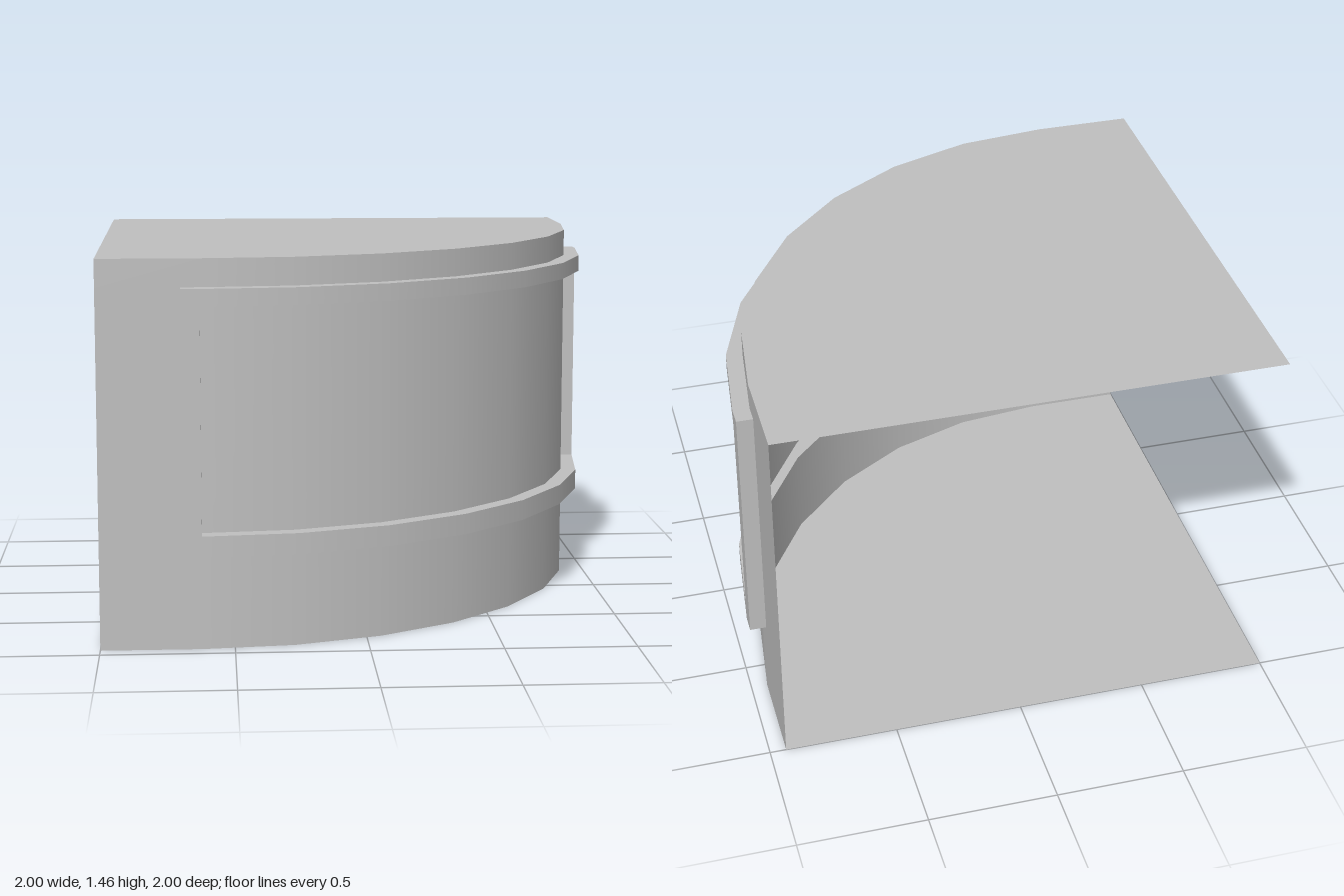
import * as THREE from 'three';

const H = 1.455;                    // overall height
const C = -0.62;                    // arc centre in x and z
const R_WALL = 1.557, R_FRAME = 1.62;
const SEGMENTS = 7;
const EDGE = -0.69;                 // outer end of the frame
const FRAME = [0.36, 0.44, 1.285, 1.35]; // frame heights, bottom to top

// Plan point with outward normal
const point = (x, z, nx, nz) => ({ x, z, nx, nz });

// Quarter-round plan path, from the front end round to the side end
function arc(radius) {
  return Array.from({ length: SEGMENTS + 1 }, (_, i) => {
    const a = (i / SEGMENTS) * Math.PI / 2;
    const s = Math.sin(a), c = Math.cos(a);
    return point(C + radius * s, C + radius * c, s, c);
  });
}

// The same path with straight ends running back to `start`
function extended(radius, start) {
  const r = C + radius;
  return [point(start, r, 0, 1), ...arc(radius), point(r, start, 1, 0)];
}

// Surface between a lower/outer row and an upper/inner row
function sheet(rowA, yA, rowB, yB, planar = false) {
  const n = rowA.length, pos = [], nor = [], idx = [];
  for (const [row, y] of [[rowA, yA], [rowB, yB]]) {
    for (const p of row) {
      pos.push(p.x, y, p.z);
      nor.push(p.nx, 0, p.nz);
    }
  }
  for (let i = 0; i < n - 1; i++) idx.push(i, i + 1, n + i + 1, i, n + i + 1, n + i);
  const g = new THREE.BufferGeometry();
  g.setAttribute('position', new THREE.Float32BufferAttribute(pos, 3));
  g.setAttribute('normal', new THREE.Float32BufferAttribute(nor, 3));
  g.setIndex(idx);
  if (planar) g.computeVertexNormals();
  return g;
}

export function createModel() {
  const model = new THREE.Group();
  model.name = 'roundedCornerWall';
  const grey = new THREE.MeshStandardMaterial({ color: 0xc0c0c0, side: THREE.DoubleSide });
  grey.name = 'light grey';

  const add = (parent, name, geometry) => {
    const mesh = new THREE.Mesh(geometry, grey);
    mesh.name = name;
    parent.add(mesh);
    return mesh;
  };
  const group = (name) => {
    const g = new THREE.Group();
    g.name = name;
    model.add(g);
    return g;
  };
  const band = (parent, name, path, y0, y1) => add(parent, name, sheet(path, y0, path, y1));
  const ledge = (parent, name, a, b, y) => add(parent, name, sheet(a, y, b, y, true));
  const jamb = (parent, name, a, b, y0, y1) =>
    add(parent, name, sheet([a, b], y0, [a, b], y1, true));

  const [y0, y1, y2, y3] = FRAME;
  const wallPath = extended(R_WALL, -1);
  const wallEdge = extended(R_WALL, EDGE), frameEdge = extended(R_FRAME, EDGE);
  const wallArc = arc(R_WALL), frameArc = arc(R_FRAME);
  const last = wallEdge.length - 1;

  // Curved wall around the frame, and the panel inside it
  const wall = group('wall');
  band(wall, 'lowerWall', wallPath, 0, y0);
  band(wall, 'upperWall', wallPath, y3, H);
  band(wall, 'frontWallEnd', [wallPath[0], wallEdge[0]], y0, y3);
  band(wall, 'sideWallEnd', [wallEdge[last], wallPath[last]], y0, y3);
  band(wall, 'windowPanel', wallArc, y1, y2);

  // Raised frame faces
  const frame = group('windowFrame');
  band(frame, 'bottomRail', frameEdge, y0, y1);
  band(frame, 'topRail', frameEdge, y2, y3);
  band(frame, 'frontStile', frameEdge.slice(0, 2), y1, y2);
  band(frame, 'sideStile', frameEdge.slice(-2), y1, y2);

  // Frame thickness: horizontal ledges
  ledge(frame, 'topLedge', frameEdge, wallEdge, y3);
  ledge(frame, 'bottomLedge', wallEdge, frameEdge, y0);
  ledge(frame, 'sill', frameArc, wallArc, y1);
  ledge(frame, 'lintel', wallArc, frameArc, y2);

  // Frame thickness: upright edges
  jamb(frame, 'frontOuterJamb', wallEdge[0], frameEdge[0], y0, y3);
  jamb(frame, 'sideOuterJamb', frameEdge[last], wallEdge[last], y0, y3);
  jamb(frame, 'frontInnerJamb', frameArc[0], wallArc[0], y1, y2);
  jamb(frame, 'sideInnerJamb', wallArc[SEGMENTS], frameArc[SEGMENTS], y1, y2);

  // Flat roof and floor; the two straight sides stay open
  const plan = (sign) => new THREE.ShapeGeometry(new THREE.Shape(
    [point(-1, -1), ...wallPath].map((p) => new THREE.Vector2(p.x, sign * p.z))
  )).rotateX(sign * Math.PI / 2);
  add(model, 'roof', plan(-1)).position.y = H;
  add(model, 'floor', plan(1));

  return model;
}
